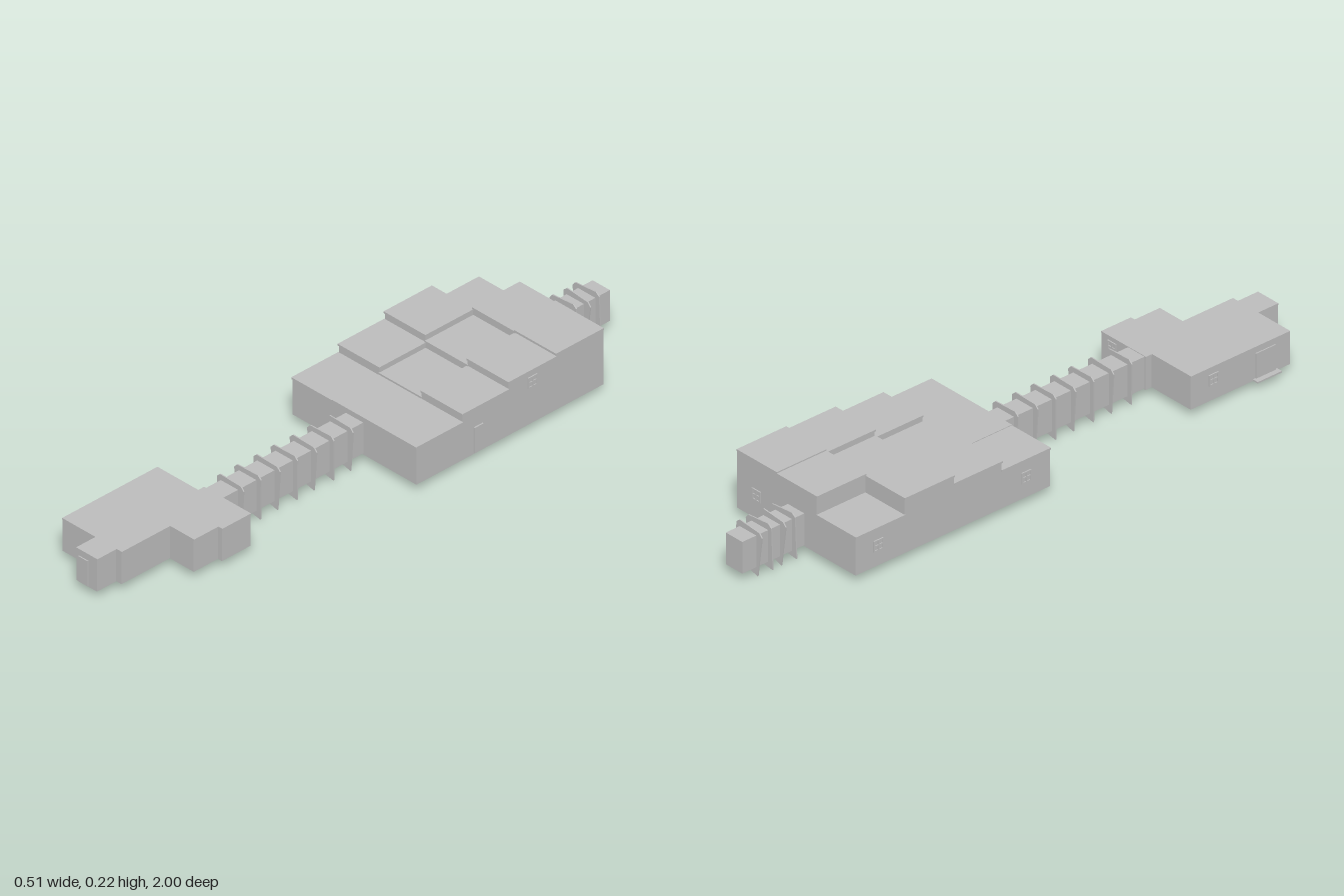
import * as THREE from 'three';

const grey = new THREE.MeshStandardMaterial({ color: 0xbcbcbc });
grey.name = 'plainGrey';

// Box given by its two corners
function box(parent, name, x0, x1, y0, y1, z0, z1) {
  const m = new THREE.Mesh(new THREE.BoxGeometry(x1 - x0, y1 - y0, z1 - z0), grey);
  m.name = name;
  m.position.set((x0 + x1) / 2, (y0 + y1) / 2, (z0 + z1) / 2);
  parent.add(m);
  return m;
}

// Plan outline (x, z) extruded upwards from y0 to y1
function slab(parent, name, outline, y0, y1) {
  const shape = new THREE.Shape(outline.map(([x, z]) => new THREE.Vector2(x, -z)));
  const geo = new THREE.ExtrudeGeometry(shape, { depth: y1 - y0, bevelEnabled: false });
  geo.rotateX(-Math.PI / 2);
  const m = new THREE.Mesh(geo, grey);
  m.name = name;
  m.position.y = y0;
  parent.add(m);
}

// Four-pane window, facing +z before turning
function windowFrame(parent, x, y, z, turn) {
  const g = new THREE.Group();
  g.name = 'window';
  const s = 0.018, t = 0.004, d = 0.004;
  for (const p of [-s + t / 2, 0, s - t / 2]) {
    box(g, 'windowBar', p - t / 2, p + t / 2, -s, s, 0, d);
    box(g, 'windowBar', -s, s, p - t / 2, p + t / 2, 0, d);
  }
  box(g, 'windowPane', -s, s, -s, s, -0.004, 0.001);
  g.position.set(x, y, z);
  g.rotation.y = turn;
  parent.add(g);
}

// Thin arched rib with two splayed feet straddling the passage
function rib(parent, z, roll) {
  const pts = [[-0.014, 0.009], [-0.014, 0.04], [0.014, 0.04], [0.014, 0.009], [0.048, 0.002],
    [0.054, 0.135], [0.042, 0.147], [-0.042, 0.147], [-0.054, 0.135], [-0.048, 0.002]];
  const shape = new THREE.Shape(pts.map(([x, y]) => new THREE.Vector2(x, y - 0.075)));
  const geo = new THREE.ExtrudeGeometry(shape, { depth: 0.004, bevelEnabled: false });
  geo.translate(0, 0, -0.002);
  const m = new THREE.Mesh(geo, grey);
  m.name = 'rib';
  m.position.set(0, 0.075, z);
  m.rotation.z = roll;
  parent.add(m);
}

function createModel() {
  const model = new THREE.Group();
  model.name = 'segmentedStation';

  // Large stepped hall: three columns of four tiles, back right corner low
  const hall = new THREE.Group();
  hall.name = 'mainHall';
  model.add(hall);
  const xs = [-0.252, -0.087, 0.083, 0.249];
  const zs = [-0.03, -0.212, -0.393, -0.58, -0.765];
  const tops = [
    [0.148, 0.177, 0.203, 0.148],
    [0.150, 0.158, 0.183, 0.209],
    [0.150, 0.178, 0.203, 0.213],
  ];
  tops.forEach((column, i) => column.forEach((top, j) => {
    box(hall, 'hallBlock', xs[i], xs[i + 1], 0.022, top - 0.006, zs[j + 1], zs[j]);
    box(hall, 'roofTile', xs[i] - 0.002, xs[i + 1] + 0.002, top - 0.006, top, zs[j + 1], zs[j] + 0.003);
  }));
  windowFrame(hall, 0.249, 0.163, -0.485, Math.PI / 2);
  windowFrame(hall, -0.252, 0.09, -0.68, -Math.PI / 2);
  windowFrame(hall, -0.252, 0.09, -0.12, -Math.PI / 2);
  windowFrame(hall, 0.165, 0.1, -0.765, Math.PI);
  box(hall, 'sideDoor', 0.247, 0.254, 0.027, 0.112, -0.29, -0.255);

  // Ribbed passage to the front cabin
  const passage = new THREE.Group();
  passage.name = 'frontPassage';
  model.add(passage);
  box(passage, 'passageTube', -0.036, 0.034, 0.026, 0.13, -0.05, 0.56);
  for (let i = 0; i < 7; i++) rib(passage, 0.03 + i * 0.0717, i % 2 ? 0.03 : -0.03);

  // Short ribbed passage at the back
  const tail = new THREE.Group();
  tail.name = 'backPassage';
  model.add(tail);
  box(tail, 'backTube', -0.036, 0.034, 0.026, 0.13, -1, -0.75);
  for (let i = 0; i < 4; i++) rib(tail, -0.81 - i * 0.045, i % 2 ? 0.09 : -0.09);

  // Front cabin with an angular plan and a thin roof
  const cabin = new THREE.Group();
  cabin.name = 'frontCabin';
  model.add(cabin);
  const plan = [[-0.205, 0.545], [-0.04, 0.545], [-0.04, 0.522], [0.146, 0.522], [0.146, 0.635],
    [0.13, 0.635], [0.13, 0.73], [0.033, 0.73], [0.033, 0.92], [0.012, 0.92], [0.012, 0.996],
    [-0.07, 0.996], [-0.07, 0.92], [-0.205, 0.92]].reverse();
  slab(cabin, 'cabinBody', plan, 0.022, 0.127);
  const grown = plan.map(([x, z]) => [x + Math.sign(x + 0.03) * 0.002, z]);
  slab(cabin, 'cabinRoof', grown, 0.127, 0.132);
  box(cabin, 'frontDoor', -0.06, -0.022, 0.025, 0.11, 0.993, 1);
  windowFrame(cabin, 0.1, 0.1, 0.522, Math.PI);
  windowFrame(cabin, -0.205, 0.09, 0.63, -Math.PI / 2);
  box(cabin, 'sideDoor', -0.209, -0.203, 0.027, 0.11, 0.79, 0.865);
  box(cabin, 'doorStep', -0.226, -0.203, 0.023, 0.028, 0.78, 0.872);

  return model;
}

export { createModel };
